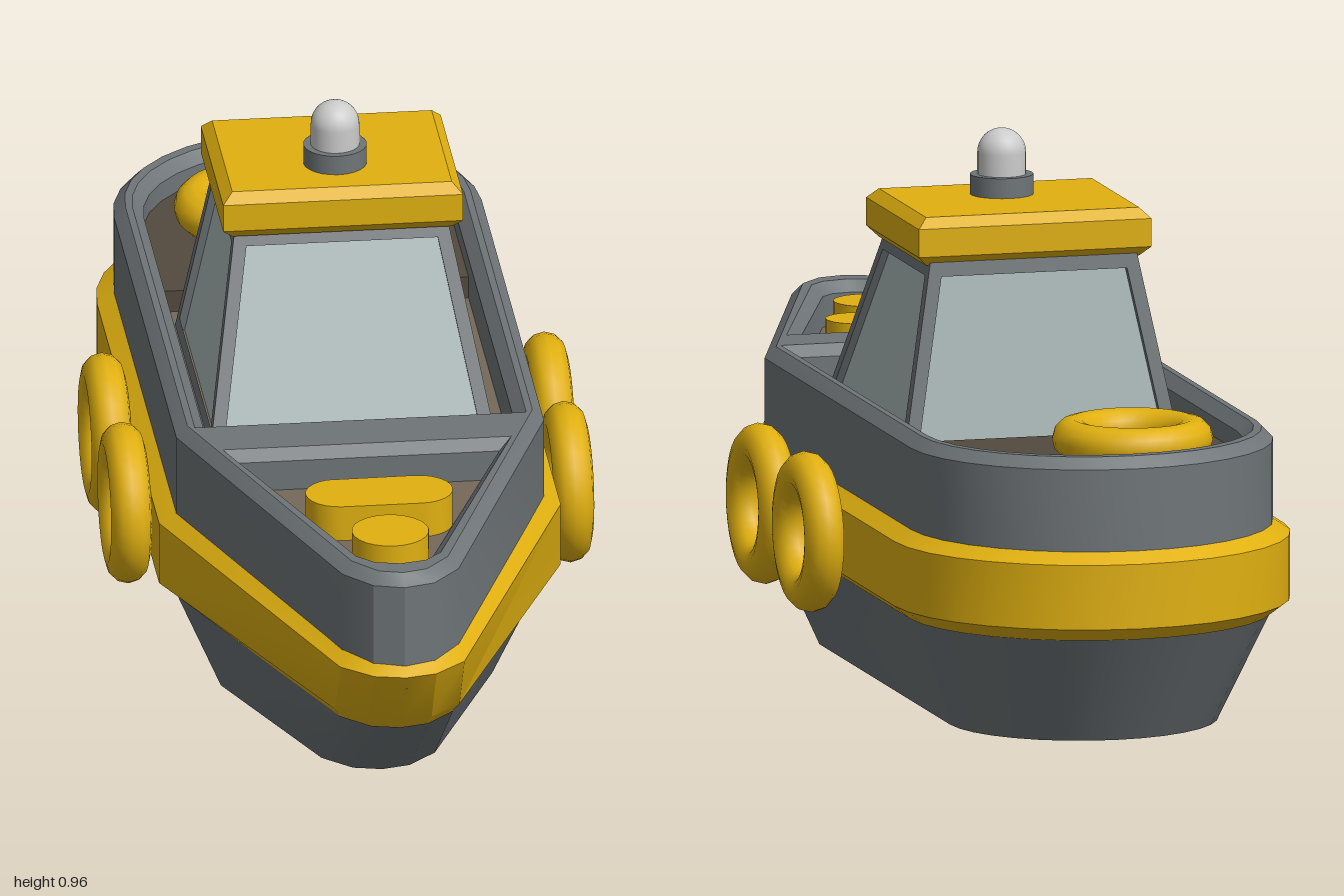
import * as THREE from 'three';
import { toCreasedNormals } from 'three/addons/utils/BufferGeometryUtils.js';

const mat = (color, side = THREE.FrontSide) => new THREE.MeshStandardMaterial({ color, side });
const grey = mat(0x6f7578), yellow = mat(0xe0b010), glass = mat(0xa6b5b4);
const deckBrown = mat(0x74695a), sternBrown = mat(0x544a3e), lampGrey = mat(0xcccccc);

// Stern curve from +x round to -x, as [x, z] points
function sternArc(w, zStern, n = 16) {
  const depth = w * 0.96, pts = [];
  for (let i = 0; i <= n; i++) {
    const t = (i / n) * Math.PI;
    pts.push([w * Math.cos(t), zStern + depth - depth * Math.sin(t)]);
  }
  return pts;
}

// Boat outline: rounded stern, straight sides, tapering bow with a blunt tip
function outline(w, zStern, zBow, tip, zShoulder = 0.29) {
  const right = [[tip * 0.5, zBow - 0.012], [tip, zBow - 0.06], [w, zShoulder]];
  const left = right.map(([x, z]) => [-x, z]).reverse();
  return [[0, zBow], ...right, ...sternArc(w, zStern), ...left];
}

// Skin through rings of equal point count: layers are [y, ring]
function loft(layers, capBottom) {
  const pos = [];
  const put = (y, [x, z]) => pos.push(x, y, z);
  for (let k = 0; k + 1 < layers.length; k++) {
    const [y0, a] = layers[k], [y1, b] = layers[k + 1];
    a.forEach((p, i) => {
      const j = (i + 1) % a.length;
      put(y0, p); put(y0, a[j]); put(y1, b[j]);
      put(y0, p); put(y1, b[j]); put(y1, b[i]);
    });
  }
  if (capBottom) {
    const [y, r] = layers[0];
    r.forEach((p, i) => { put(y, [0, 0]); put(y, r[(i + 1) % r.length]); put(y, p); });
  }
  const g = new THREE.BufferGeometry();
  g.setAttribute('position', new THREE.Float32BufferAttribute(pos, 3));
  return toCreasedNormals(g, 0.45);
}

const vectors = (pts) => pts.map(([x, z]) => new THREE.Vector2(x, -z));

// Upright slab from a plan outline, with optional holes and chamfer
function slab(pts, y0, y1, chamfer = 0, holes = []) {
  const shape = new THREE.Shape(vectors(pts));
  holes.forEach((h) => shape.holes.push(new THREE.Path(vectors(h))));
  const g = new THREE.ExtrudeGeometry(shape, {
    depth: y1 - y0 - 2 * chamfer, bevelEnabled: chamfer > 0,
    bevelSize: chamfer, bevelThickness: chamfer, bevelSegments: 1,
  });
  g.rotateX(-Math.PI / 2).translate(0, y0 + chamfer, 0);
  return toCreasedNormals(g, 0.45);
}

const rect = (x0, x1, z0, z1) => [[x0, z1], [x1, z1], [x1, z0], [x0, z0]];

// Cabin plan at height y: sides lean in, windscreen leans back most
function cabinPlan(y, inset = 0) {
  const t = (y - 0.43) / 0.33;
  const x = 0.252 - 0.062 * t - inset;
  return { x, front: 0.185 - 0.175 * t - inset, back: -0.355 + 0.055 * t + inset };
}
function cabinBlock(y0, y1, inset = 0) {
  return loft([y0, y1].map((y) => {
    const c = cabinPlan(y, inset);
    return [y, rect(-c.x, c.x, c.back, c.front)];
  }), true);
}

export function createModel() {
  const boat = new THREE.Group();
  boat.name = 'tugboat';
  const add = (name, geometry, material, parent = boat) => {
    const m = new THREE.Mesh(geometry, material);
    m.name = name;
    parent.add(m);
    return m;
  };

  // Hull
  add('lowerHull', loft([
    [0, outline(0.24, -0.84, 0.63, 0.1, 0.24)],
    [0.205, outline(0.325, -0.965, 0.91, 0.1)],
  ], true), grey);
  add('rubbingBelt', loft([
    [0.2, outline(0.325, -0.965, 0.9, 0.1)],
    [0.225, outline(0.355, -1, 0.925, 0.11)],
    [0.34, outline(0.355, -1, 1, 0.11)],
    [0.362, outline(0.322, -0.965, 0.97, 0.1)],
  ]), yellow);

  // Bulwark with a stern well and a bow well
  const sternWell = [...sternArc(0.293, -0.93), [-0.293, 0.3], [0.293, 0.3]];
  const bowWell = [[0.255, 0.4], [-0.255, 0.4], [-0.075, 0.88], [-0.045, 0.91],
    [0, 0.92], [0.045, 0.91], [0.075, 0.88]];
  add('bulwark', slab(outline(0.305, -0.95, 0.96, 0.085), 0.29, 0.525, 0.02,
    [sternWell, bowWell]), grey);

  // Decks
  add('sternDeck', slab([...sternArc(0.28, -0.92), [-0.28, -0.41], [0.28, -0.41]], 0.36, 0.47), sternBrown);
  add('midDeck', slab(rect(-0.28, 0.28, -0.41, 0.29), 0.36, 0.43), deckBrown);
  add('bowDeck', slab(bowWell, 0.36, 0.45), deckBrown);

  // Cabin
  const cabin = new THREE.Group();
  cabin.name = 'cabin';
  boat.add(cabin);
  add('windows', cabinBlock(0.43, 0.76, 0.014), glass, cabin);
  add('sill', cabinBlock(0.42, 0.455), grey, cabin);
  add('topRail', cabinBlock(0.743, 0.768), grey, cabin);
  const post = 0.024;
  for (const s of [-1, 1]) for (const end of ['front', 'back']) {
    const ring = (y) => {
      const c = cabinPlan(y);
      const xs = [s * c.x, s * (c.x - post)].sort((a, b) => a - b);
      const zs = end === 'front' ? [c.front - post, c.front] : [c.back, c.back + post];
      return [y, rect(...xs, ...zs)];
    };
    add(end + 'Post', loft([ring(0.43), ring(0.76)]), grey, cabin);
  }
  add('roof', slab(rect(-0.194, 0.194, -0.291, 0.017), 0.762, 0.848, 0.018), yellow, cabin);

  // Beacon
  const base = add('beaconBase', new THREE.CylinderGeometry(0.056, 0.056, 0.037, 24), grey, cabin);
  base.position.set(0, 0.865, -0.09);
  const dome = [new THREE.Vector2(0.043, 0)];
  for (let i = 0; i <= 8; i++) {
    const t = (i / 8) * Math.PI / 2;
    dome.push(new THREE.Vector2(0.043 * Math.cos(t), 0.039 + 0.043 * Math.sin(t)));
  }
  add('beaconLamp', new THREE.LatheGeometry(dome, 24), lampGrey, cabin).position.set(0, 0.883, -0.09);

  // Side fenders and the life ring
  const ring = new THREE.TorusGeometry(0.106, 0.036, 12, 32);
  for (const s of [-1, 1]) for (const z of [0.075, -0.225]) {
    const f = add('fenderRing', ring, yellow);
    f.position.set(s * 0.391, 0.286, z);
    f.rotation.y = Math.PI / 2;
  }
  const life = add('lifeRing', ring, yellow);
  life.position.set(-0.075, 0.507, -0.675);
  life.rotation.x = Math.PI / 2;

  // Bow fittings
  const pill = [];
  for (let i = 0; i <= 24; i++) {
    const t = (i / 24) * Math.PI * 2 - Math.PI / 2;
    if (i === 12) pill.push([0.07, 0.525 + 0]);
    else pill.push([(i < 12 ? 0.07 : -0.07) + 0.06 * Math.cos(t), 0.585 - 0.06 * Math.sin(t)]);
  }
  pill[24] = [-0.07, 0.645];
  add('bowBench', slab(pill, 0.44, 0.515), yellow);
  add('bowBollard', new THREE.CylinderGeometry(0.068, 0.068, 0.075, 24), yellow).position.set(0, 0.4775, 0.755);

  return boat;
}
